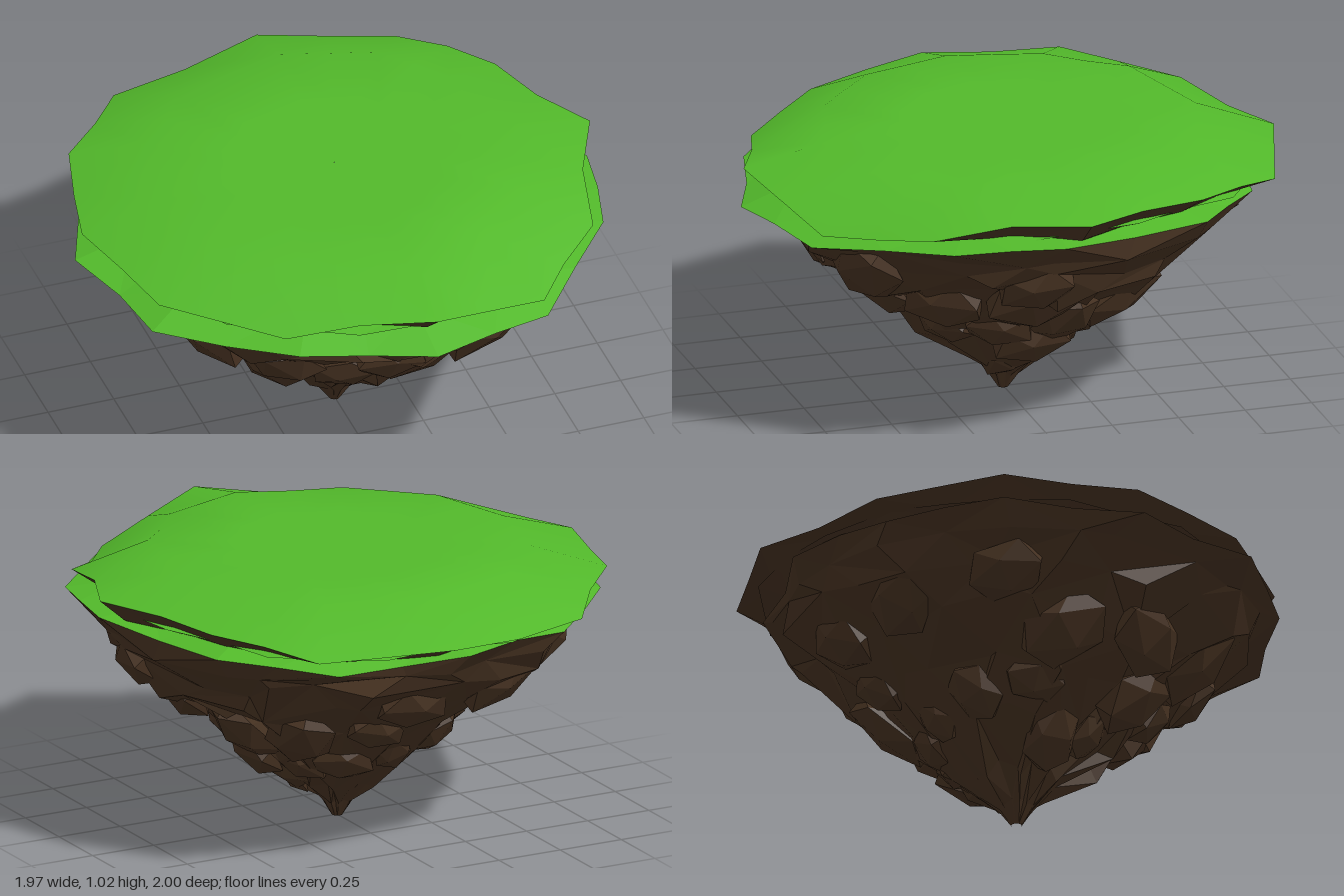
import * as THREE from 'three';

// Seeded noise in -1..1
let seed = 7;
function rnd() {
  seed = (seed * 16807) % 2147483647;
  return (seed / 2147483647) * 2 - 1;
}

// Rim corners [x, y, z], going round from +x towards +z
const UPPER_RIM = [
  [0.98, 0.96, -0.02], [0.80, 0.90, 0.52], [0.50, 0.85, 0.84], [0.04, 0.96, 0.99],
  [-0.47, 0.88, 0.80], [-0.83, 0.89, 0.46], [-0.96, 0.93, 0.0], [-0.84, 0.94, -0.48],
  [-0.54, 0.89, -0.84], [0.06, 0.91, -1.0], [0.54, 0.89, -0.85], [0.79, 0.94, -0.5],
];
const LOWER_RIM = [
  [0.94, 0.87, 0.06], [0.86, 0.86, 0.46], [0.50, 0.81, 0.88], [0.04, 0.815, 1.0],
  [-0.43, 0.82, 0.84], [-0.87, 0.81, 0.5], [-0.99, 0.83, 0.01], [-0.82, 0.86, -0.47],
  [-0.5, 0.83, -0.78], [-0.04, 0.85, -0.92], [0.43, 0.81, -0.8], [0.78, 0.85, -0.52],
];

// Scale a rim about the y axis and flatten it to one height
const flat = (rim, s, h) => rim.map(([x, , z]) => [x * s, h, z * s]);

// Add a slightly uneven corner between each pair of rim corners
const ragged = (rim) => rim.flatMap((p, i) => {
  const q = rim[(i + 1) % rim.length];
  const s = 0.495 + 0.012 * rnd();
  return [p, [(p[0] + q[0]) * s, (p[1] + q[1]) / 2 + 0.02 * rnd(), (p[2] + q[2]) * s]];
});

// Skin a stack of closed rings that all have the same corner count
function skin(rings) {
  const n = rings[0].length, index = [];
  for (let i = 0; i < rings.length - 1; i++) {
    for (let j = 0; j < n; j++) {
      const a = i * n + j, b = i * n + (j + 1) % n, c = a + n, d = b + n;
      if ((i + j) % 2) index.push(a, b, c, b, d, c);
      else index.push(a, b, d, a, d, c);
    }
  }
  const g = new THREE.BufferGeometry();
  g.setAttribute('position', new THREE.Float32BufferAttribute(rings.flat(2), 3));
  g.setIndex(index);
  g.computeVertexNormals();
  return g;
}

export function createModel() {
  seed = 7;
  const island = new THREE.Group();
  island.name = 'floatingIsland';
  const grass = new THREE.MeshStandardMaterial({ color: 0x52b82a });
  const grassEdge = new THREE.MeshStandardMaterial({ color: 0x52b82a, flatShading: true });
  const rock = new THREE.MeshStandardMaterial({ color: 0x443020, flatShading: true });
  const add = (name, geometry, material) => {
    const m = new THREE.Mesh(geometry, material);
    m.name = name;
    island.add(m);
    return m;
  };
  const upper = ragged(UPPER_RIM), lower = ragged(LOWER_RIM);

  // Smooth turf: flat middle, sloping down to a ragged rim
  add('turf', skin([
    flat(upper, 0.001, 1.02), flat(upper, 0.4, 1.02), flat(upper, 0.71, 1.018), upper,
  ]), grass);

  // Earth under the turf rim
  add('upperEarth', skin([upper, flat(upper, 0.9, 0.875), flat(upper, 0.8, 0.82)]), rock);

  // Broken ledge of grass between the two rims
  const ledge = upper.map(([x, y, z], j) => {
    const s = j % 2 ? 0.965 : 0.9;
    return [x * s, 0.87 + 0.3 * (y - 0.9) + 0.02 * rnd(), z * s];
  });
  add('grassLedge', skin([flat(upper, 0.8, 0.9), ledge]), grassEdge);
  add('ledgeEarth', skin([ledge, flat(upper, 0.8, 0.83)]), rock);

  // Lower ragged skirt of grass
  add('grassSkirt', skin([flat(lower, 0.78, 0.89), lower]), grassEdge);

  // Craggy rock cone, profile of [radius, y]
  const profile = [[0.86, 0.78], [0.78, 0.69], [0.655, 0.57], [0.48, 0.44], [0.32, 0.3], [0.155, 0.16], [0.06, 0.07]];
  const sides = lower.length;
  const rings = [lower];
  profile.forEach(([r, y], i) => {
    const ring = [];
    for (let j = 0; j < sides; j++) {
      const t = ((j + (i > 1 ? 0.6 : 0.4) * rnd()) / sides) * Math.PI * 2;
      const rr = r * (1 + (i ? 0.1 : 0.03) * rnd());
      ring.push([Math.cos(t) * rr, y + (i && i < 6 ? 0.045 : 0.012) * rnd(), Math.sin(t) * rr]);
    }
    rings.push(ring);
  });
  rings.push(flat(lower, 0.02, 0));
  add('rockCone', skin(rings), rock);

  // Angular slabs leaning on the cone, facing outward and down
  const slab = (t, r, y, size) => {
    const m = add('rockSlab', new THREE.IcosahedronGeometry(size, 0), rock);
    m.position.set(Math.cos(t) * r, y, Math.sin(t) * r);
    m.lookAt(Math.cos(t) * (r + 1), y - 0.9 + 0.3 * rnd(), Math.sin(t) * (r + 1));
    m.rotateZ(rnd() * 3);
    m.scale.set(1.25, 0.9, 0.5);
  };
  slab(0.15, 0.76, 0.66, 0.13);
  slab(0, 0.33, 0.29, 0.13);
  slab(0.3, 0.16, 0.17, 0.09);
  for (let k = 0; k < 26; k++) {
    const y = 0.24 + 0.44 * ((k * 0.4142) % 1);
    slab(k * 2.4, 1.2 * y - 0.06, y, 0.07 + 0.13 * y + 0.03 * rnd());
  }
  return island;
}
